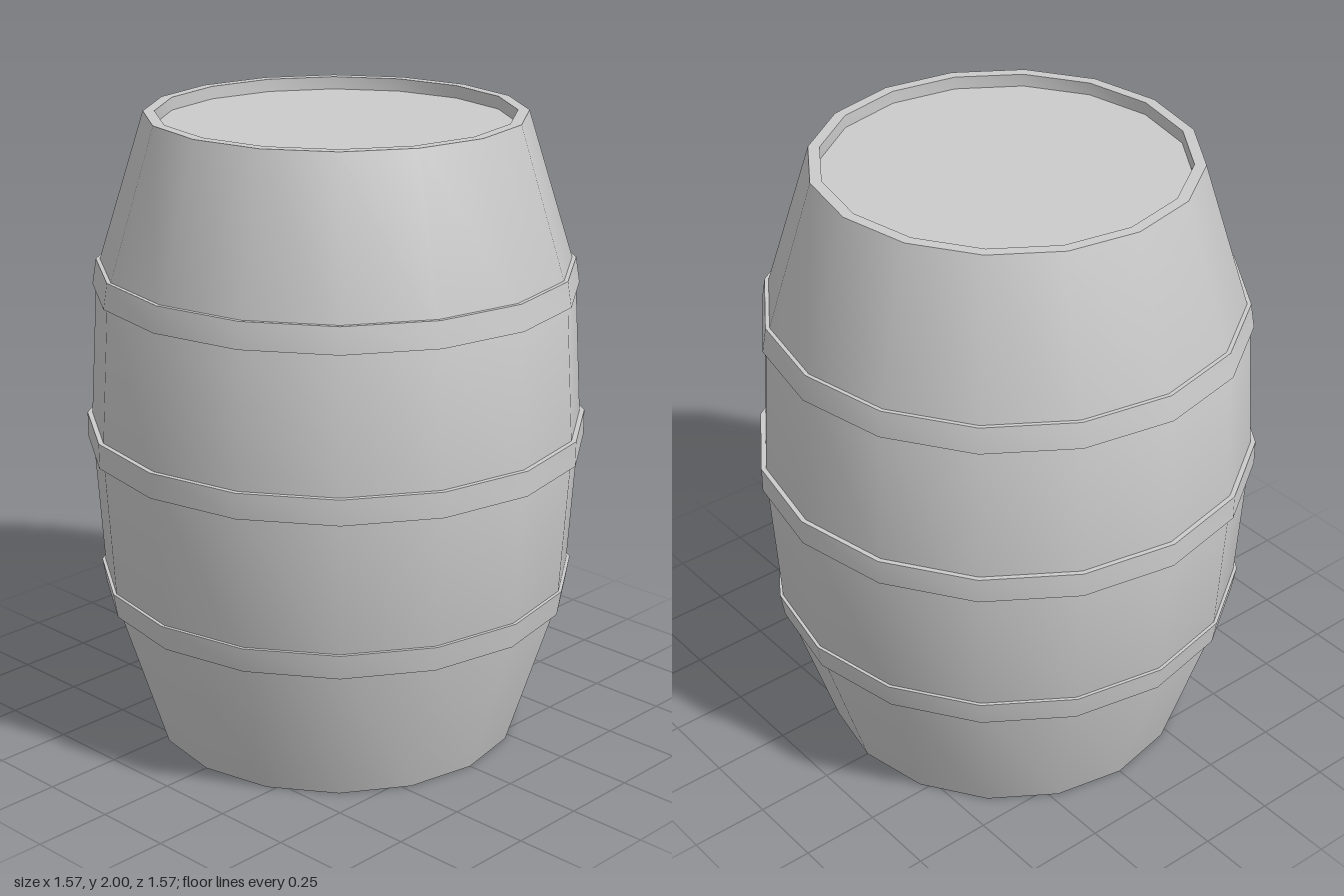
import * as THREE from 'three';
import { toCreasedNormals } from 'three/addons/utils/BufferGeometryUtils.js';

const SIDES = 16;

export function createModel() {
  const group = new THREE.Group();
  const material = new THREE.MeshStandardMaterial({ color: 0xcccccc });

  const add = (name, geometry) => {
    const mesh = new THREE.Mesh(geometry, material);
    mesh.name = name;
    group.add(mesh);
    return mesh;
  };

  // Revolve [radius, height] pairs, smooth around but sharp at rims
  const turned = (name, profile) => {
    const points = profile.map(([r, y]) => new THREE.Vector2(r, y));
    return add(name, toCreasedNormals(new THREE.LatheGeometry(points, SIDES), 0.5));
  };

  // Bulging wall with a thin rim at each end
  turned('barrelWall', [
    [0.55, 0.04], [0.55, 0], [0.585, 0], [0.742, 0.5], [0.772, 1],
    [0.742, 1.5], [0.585, 2], [0.55, 2], [0.55, 1.96],
  ]);

  // Recessed end discs
  for (const [name, y, dir] of [['topLid', 1.96, -1], ['bottomLid', 0.04, 1]]) {
    const disc = add(name, new THREE.CircleGeometry(0.55, SIDES));
    disc.rotation.x = dir * Math.PI / 2;
    disc.position.y = y;
  }

  // Hoops: [name, bottom y, top y, bottom radius, top radius]
  const hoops = [
    ['lowerHoop', 0.46, 0.54, 0.742, 0.755],
    ['middleHoop', 0.96, 1.04, 0.785, 0.785],
    ['upperHoop', 1.46, 1.54, 0.755, 0.742],
  ];
  for (const [name, y0, y1, r0, r1] of hoops) {
    turned(name, [[0.7, y0], [r0, y0], [r1, y1], [0.7, y1]]);
  }

  return group;
}
